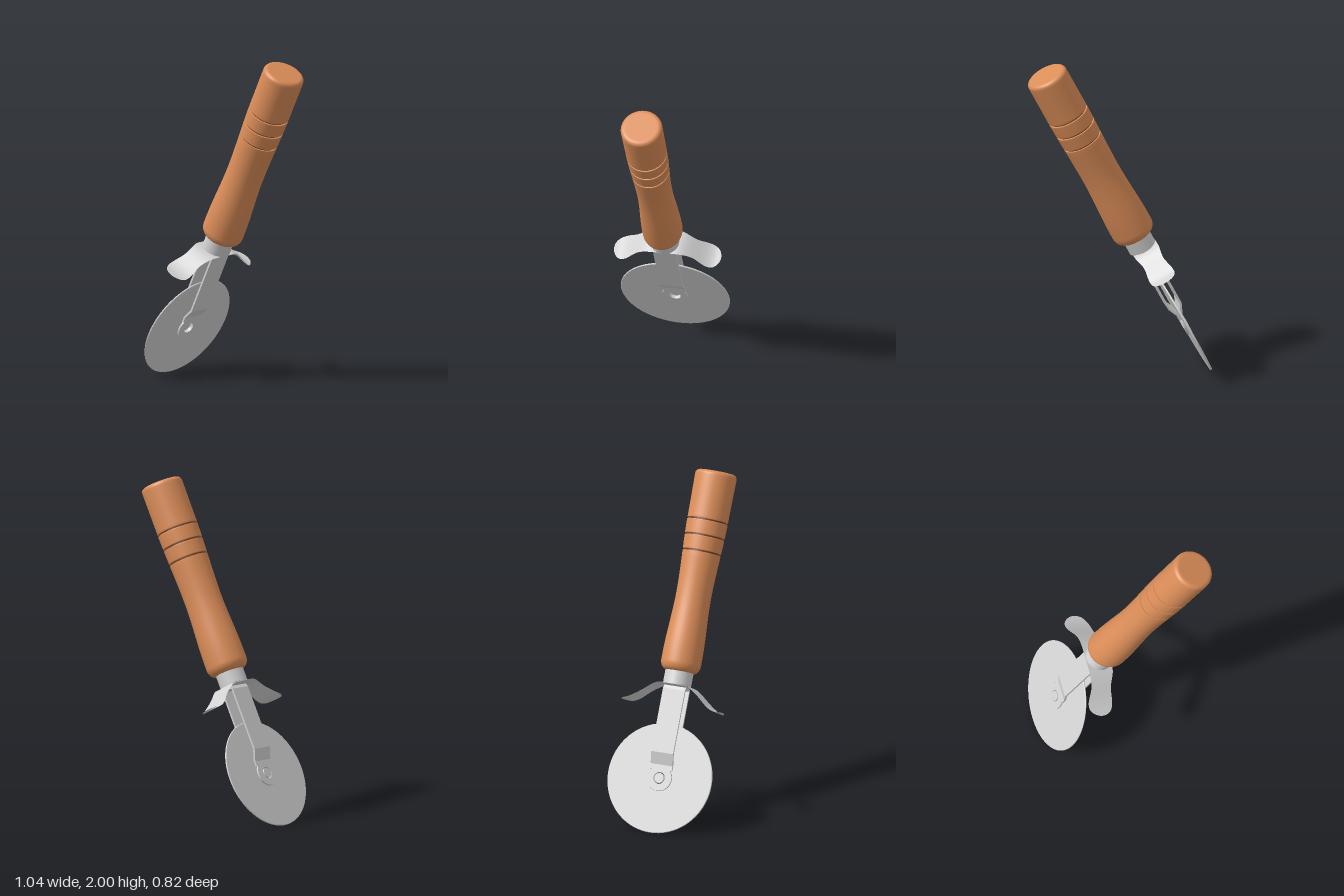
import * as THREE from 'three';

const steel = new THREE.MeshStandardMaterial({ color: 0xd2d2d2, side: THREE.DoubleSide });
steel.name = 'steel';
const wood = new THREE.MeshStandardMaterial({ color: 0xdb8d58 });
wood.name = 'wood';
const darkWood = new THREE.MeshStandardMaterial({ color: 0x6b3c20 });
darkWood.name = 'dark wood';

const V = (x, y) => new THREE.Vector2(x, y);

function add(parent, name, geometry, material) {
  const mesh = new THREE.Mesh(geometry, material);
  mesh.name = name;
  parent.add(mesh);
  return mesh;
}

// smooth interpolation through [position, value] pairs
function interp(table, t) {
  for (let i = 1; i < table.length; i++) {
    const [a, va] = table[i - 1], [b, vb] = table[i];
    if (t <= b) return va + (vb - va) * THREE.MathUtils.smoothstep(t, a, b);
  }
  return table[table.length - 1][1];
}

// flat ring with a central hole, its axis along x
function ring(hole, radius, half, bevel) {
  const pts = [V(hole, -half), V(radius - bevel, -half), V(radius, -half * 0.2),
    V(radius, half * 0.2), V(radius - bevel, half), V(hole, half), V(hole, -half)];
  const flat = new THREE.LatheGeometry(pts, 72).toNonIndexed();
  flat.computeVertexNormals();
  return flat.rotateZ(-Math.PI / 2);
}

// wooden grip with a slim waist and slightly oval section, cut by three grooves
function buildHandle() {
  const g = new THREE.Group();
  g.name = 'handle';
  const radii = [[0.70, 0.119], [0.74, 0.119], [1.11, 0.104], [1.58, 0.122], [1.85, 0.125]];
  const oval = [[0.75, 1.09], [1.11, 1.12], [1.55, 1.04], [1.85, 1.01]];
  const R = t => interp(radii, t);
  const widen = geo => {
    const p = geo.attributes.position;
    for (let i = 0; i < p.count; i++) p.setX(i, p.getX(i) * interp(oval, Math.max(0.75, p.getY(i))));
    return geo;
  };
  const bottom = 0.645, top = 1.857, grooves = [1.37, 1.465, 1.56], w = 0.005, depth = 0.01;
  let start = 0.70;
  for (let k = 0; k <= grooves.length; k++) {
    const last = k === grooves.length;
    const end = last ? top - 0.025 : grooves[k] - w;
    const pts = [];
    if (k === 0) {
      // rounded lower end
      pts.push(V(0, bottom), V(0.07, bottom));
      for (let i = 0; i < 8; i++) {
        const a = i / 8 * Math.PI / 2;
        pts.push(V(0.078 + 0.041 * Math.sin(a), 0.70 - 0.055 * Math.cos(a)));
      }
    } else pts.push(V(R(start) - depth - 0.004, start), V(R(start) - 0.002, start));
    for (let i = 0; i <= 16; i++) {
      const t = start + (end - start) * i / 16;
      pts.push(V(R(t), t + (i === 0 && k > 0 ? 0.002 : 0)));
    }
    if (last) {
      // rounded rim and flat cap
      for (let i = 1; i <= 6; i++) {
        const a = i / 6 * Math.PI / 2;
        pts.push(V(R(end) - 0.025 * (1 - Math.cos(a)), end + 0.025 * Math.sin(a)));
      }
      pts.push(V(0.09, top), V(0, top));
    } else {
      pts.push(V(R(end) - 0.002, end + 0.001), V(R(end) - depth - 0.004, end + 0.001));
      const r = R(grooves[k]) - depth;
      const band = new THREE.CylinderGeometry(r, r, 4 * w, 48, 1, true).translate(0, grooves[k], 0);
      add(g, 'groove', widen(band), darkWood);
      start = grooves[k] + w;
    }
    add(g, 'gripSection', widen(new THREE.LatheGeometry(pts, 48)), wood);
  }
  return g;
}

// U-shaped fork: two arms that pinch in towards the wheel hub
function buildFork() {
  const g = new THREE.Group();
  g.name = 'fork';
  const th = 0.012;
  const outer = [[0.016, 0.05], [0.016, 0.08], [0.045, 0.15], [0.045, 0.535], [0.036, 0.555]];
  const inner = [[0.016 - th, 0.05], [0.016 - th, 0.083], [0.045 - th, 0.154], [0.045 - th, 0.54]];
  const mirror = list => list.map(([x, y]) => [-x, y]);
  const outline = [...outer, ...mirror(outer).reverse(), ...mirror(inner), ...[...inner].reverse()];
  const shape = new THREE.Shape(outline.map(([x, y]) => V(x, y)));
  const width = 0.14;
  const geo = new THREE.ExtrudeGeometry(shape, { depth: width, bevelEnabled: false });
  add(g, 'forkArms', geo.translate(0, 0, -width / 2), steel);
  for (const s of [-1, 1]) {
    add(g, 'forkEnd', ring(0.035, 0.078, 0.006, 0.001), steel).position.x = s * 0.010;
  }
  // axle pin, closing the hole on one side
  const pin = new THREE.CylinderGeometry(0.03, 0.03, 0.016, 32).rotateZ(Math.PI / 2);
  add(g, 'axlePin', pin, steel).position.x = -0.010;
  return g;
}

// finger guard: a thin plate with two drooping, rounded wings
function buildGuard() {
  const len = 0.325, capR = 0.07;
  const droop = [[0, 0], [0.07, 0], [0.30, -0.125], [0.34, -0.125]];
  const half = [[0, 0.08], [0.08, 0.08], [0.17, 0.066], [0.25, 0.08], [0.34, 0.08]];
  const make = lift => {
    const geo = new THREE.PlaneGeometry(2, 2, 8, 64);
    const p = geo.attributes.position;
    for (let i = 0; i < p.count; i++) {
      const q = p.getX(i);
      // rows gather at the tips so the ends stay round
      const s = Math.sin(p.getY(i) * Math.PI / 2) * len, a = Math.abs(s);
      const e = Math.max(0, (a - (len - capR)) / capR);
      const h = interp(half, a) * Math.sqrt(Math.max(0, 1 - e * e));
      p.setXYZ(i, q * h - 0.012, 0.562 + interp(droop, a) + lift, s);
    }
    geo.computeVertexNormals();
    return geo;
  };
  const g = new THREE.Group();
  g.name = 'fingerGuard';
  add(g, 'guardTop', make(0.003), steel);
  add(g, 'guardUnderside', make(-0.003), steel);
  return g;
}

export function createModel() {
  const model = new THREE.Group();
  model.name = 'pizzaCutter';

  // built upright around the wheel hub: x is the wheel axle, y runs up the handle
  const cutter = new THREE.Group();
  cutter.name = 'cutter';
  add(cutter, 'cuttingWheel', ring(0.035, 0.33, 0.005, 0.003), steel);
  const handle = buildHandle();
  handle.position.x = -0.006;
  cutter.add(buildFork(), buildGuard(), handle);
  const collar = add(cutter, 'collar', new THREE.CylinderGeometry(0.085, 0.085, 0.1, 40), steel);
  collar.position.set(-0.006, 0.612, 0);

  // lean the whole tool
  const up = new THREE.Vector3(0.401, 0.891, 0.213).normalize();
  const axle = new THREE.Vector3(0.81, -0.445, 0.385);
  axle.addScaledVector(up, -axle.dot(up)).normalize();
  const side = new THREE.Vector3().crossVectors(axle, up);
  cutter.quaternion.setFromRotationMatrix(new THREE.Matrix4().makeBasis(axle, up, side));
  cutter.position.set(-0.331, 0.295, -0.11);
  model.add(cutter);
  return model;
}
